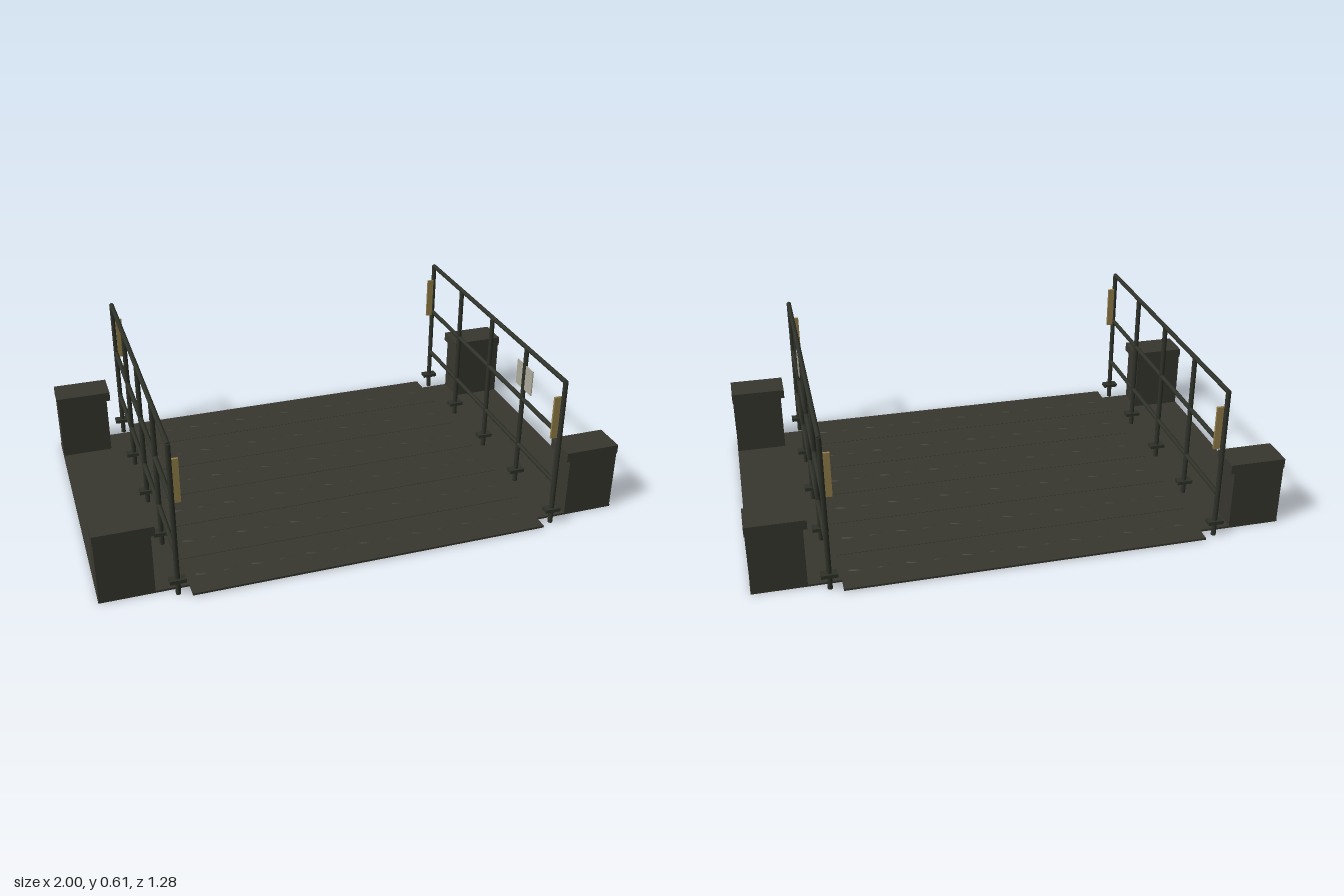
import * as THREE from 'three';

export function createModel() {
  const model = new THREE.Group();
  model.name = 'platformWithRailings';

  const mat = (name, color, side = THREE.FrontSide) => {
    const m = new THREE.MeshStandardMaterial({ color, side });
    m.name = name;
    return m;
  };
  const concrete = mat('darkConcrete', 0x38372f);
  const steel = mat('darkSteel', 0x2f3229);
  const amber = mat('amberReflector', 0x95814a);
  const pale = mat('paleSign', 0xacab9b);

  // Box given by its low and high corners
  const box = (parent, name, material, [x0, x1], [y0, y1], [z0, z1]) => {
    const mesh = new THREE.Mesh(new THREE.BoxGeometry(x1 - x0, y1 - y0, z1 - z0), material);
    mesh.position.set((x0 + x1) / 2, (y0 + y1) / 2, (z0 + z1) / 2);
    mesh.name = name;
    parent.add(mesh);
    return mesh;
  };

  // Base slab and the deck boards overhanging it front and back
  box(model, 'baseSlab', concrete, [-1, 1], [0, 0.008], [-0.578, 0.578]);
  const deck = new THREE.Group();
  deck.name = 'deck';
  model.add(deck);
  const rows = 6, pitch = 1.28 / rows, gap = 0.001;
  const gripGeo = new THREE.CylinderGeometry(0.5, 1, 1, 6);
  for (let r = 0; r < rows; r++) {
    const z0 = -0.64 + r * pitch;
    box(deck, 'deckBoard', concrete, [-0.68, 0.68], [0.004, 0.012], [z0 + gap, z0 + pitch - gap]);
    // Shallow raised grips along each board
    for (let c = 0; c < 13; c++) {
      const grip = new THREE.Mesh(gripGeo, concrete);
      grip.name = 'deckGrip';
      grip.scale.set(0.032, 0.003, 0.007);
      grip.position.set(-0.624 + c * 0.104, 0.0132, z0 + pitch / 2);
      grip.rotation.y = c % 2 ? 0.12 : -0.12;
      deck.add(grip);
    }
  }

  // Capped corner pillars
  for (const sx of [-1, 1]) for (const sz of [-1, 1]) {
    const span = (s, a, b) => (s > 0 ? [a, b] : [-b, -a]);
    const pillar = new THREE.Group();
    pillar.name = 'cornerPillar';
    box(pillar, 'pillarBody', concrete, span(sx, 0.8, 0.998), [0.004, 0.24], span(sz, 0.457, 0.578));
    box(pillar, 'pillarCap', concrete, span(sx, 0.785, 1), [0.24, 0.277], span(sz, 0.453, 0.58));
    model.add(pillar);
  }

  // Railings along both sides
  const postGeo = new THREE.CylinderGeometry(0.0095, 0.0095, 0.605, 10);
  const railGeo = new THREE.CylinderGeometry(0.009, 0.009, 1.215, 10);
  railGeo.rotateX(Math.PI / 2);
  for (const s of [-1, 1]) {
    const railing = new THREE.Group();
    railing.name = s > 0 ? 'leftRailing' : 'rightRailing';
    const x = s * 0.725;
    for (const z of [-0.605, -0.302, 0, 0.302, 0.605]) {
      const post = new THREE.Mesh(postGeo, steel);
      post.name = 'post';
      post.position.set(x, 0.3025, z);
      railing.add(post);
      box(railing, 'postCollar', steel, [x - 0.03, x + 0.03], [0.052, 0.066], [z - 0.017, z + 0.017]);
    }
    for (const y of [0.179, 0.383, 0.602]) {
      const rail = new THREE.Mesh(railGeo, steel);
      rail.name = 'rail';
      rail.position.set(x, y, 0);
      railing.add(rail);
    }
    // Reflector strips on the inner side of the end posts
    for (const e of [-1, 1]) {
      const xs = [s * 0.692, s * 0.718].sort((a, b) => a - b);
      box(railing, 'reflector', amber, xs, [0.37, 0.54], [e * 0.595 - 0.0045, e * 0.595 + 0.0045]);
    }
    model.add(railing);
  }

  // Thin sign plate set into one post
  box(model, 'signPlate', pale, [0.723, 0.727], [0.427, 0.529], [0.241, 0.367]);

  return model;
}
